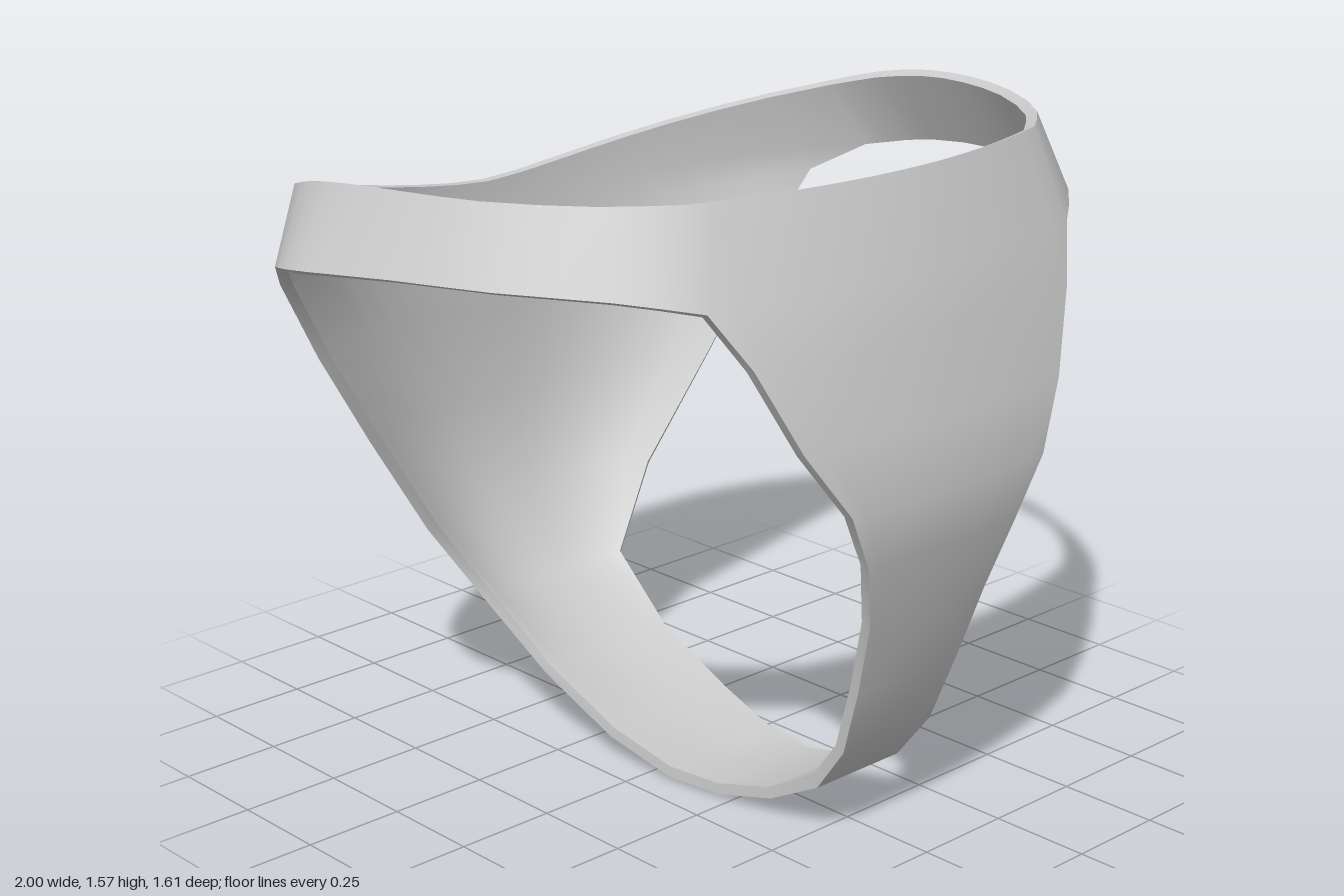
import * as THREE from 'three';
import { mergeVertices, mergeGeometries, toCreasedNormals } from 'three/addons/utils/BufferGeometryUtils.js';

const THICKNESS = 0.028;

// Cross-sections of the centre panel, from front waist, under the crotch, to back waist:
// half width, centre y, centre z, edge y, edge z
const SECTIONS = [
  [0.55, 1.57, 0.62, 1.57, 0.53],
  [0.57, 1.36, 0.70, 1.36, 0.62],
  [0.50, 1.24, 0.735, 1.24, 0.685],
  [0.41, 1.05, 0.775, 1.05, 0.745],
  [0.31, 0.90, 0.81, 0.90, 0.79],
  [0.24, 0.76, 0.785, 0.76, 0.775],
  [0.19, 0.60, 0.745, 0.60, 0.735],
  [0.165, 0.42, 0.69, 0.42, 0.68],
  [0.145, 0.25, 0.62, 0.25, 0.62],
  [0.135, 0.13, 0.53, 0.13, 0.53],
  [0.135, 0.05, 0.38, 0.05, 0.38],
  [0.15, 0.01, 0.22, 0.01, 0.22],
  [0.17, 0.00, 0.07, 0.01, 0.07],
  [0.19, 0.05, -0.12, 0.06, -0.12],
  [0.20, 0.14, -0.36, 0.16, -0.35],
  [0.23, 0.28, -0.60, 0.31, -0.55],
  [0.37, 0.49, -0.74, 0.52, -0.59],
  [0.56, 0.75, -0.785, 0.80, -0.555],
  [0.72, 0.98, -0.79, 1.05, -0.525],
  [0.85, 1.15, -0.79, 1.26, -0.475],
  [0.94, 1.24, -0.80, 1.34, -0.36],
  [0.85, 1.31, -0.80, 1.505, -0.40],
];

// Waist edge and leg edge of the side band, front to back
const BAND_TOP = [[0.55, 1.57, 0.53], [0.69, 1.57, 0.42], [0.83, 1.57, 0.22], [0.89, 1.57, 0.04],
  [0.91, 1.562, -0.12], [0.895, 1.54, -0.27], [0.85, 1.505, -0.40]];
const BAND_LOW = [[0.57, 1.36, 0.62], [0.72, 1.39, 0.50], [0.87, 1.4, 0.30], [0.96, 1.4, 0.08],
  [1.0, 1.38, -0.15], [0.99, 1.365, -0.25], [0.94, 1.34, -0.36]];

// Surface from rows of points
function gridGeometry(rows) {
  const cols = rows[0].length;
  const index = [];
  for (let i = 0; i < rows.length - 1; i++) {
    for (let j = 0; j < cols - 1; j++) {
      const a = i * cols + j, c = a + cols;
      index.push(a, c, a + 1, a + 1, c, c + 1);
    }
  }
  const geo = new THREE.BufferGeometry();
  geo.setAttribute('position', new THREE.Float32BufferAttribute(rows.flat(2), 3));
  geo.setIndex(index);
  return geo;
}

function centrePanel() {
  const half = 8;
  return gridGeometry(SECTIONS.map(([w, yc, zc, ye, ze]) => {
    const power = zc < 0 ? 2.7 : 2;
    const row = [];
    for (let j = -half; j <= half; j++) {
      const u = Math.abs(j) / half;
      row.push([w * j / half, yc + (ye - yc) * u ** 1.6, zc + (ze - zc) * u ** power]);
    }
    return row;
  }));
}

function sideBand(side) {
  const curves = [BAND_TOP, BAND_LOW].map(
    (pts) => new THREE.CatmullRomCurve3(pts.map((p) => new THREE.Vector3(...p))));
  const rows = [0, 0.5, 1].map((v) => {
    const row = [];
    for (let j = 0; j <= 12; j++) {
      const p = curves[0].getPoint(j / 12).lerp(curves[1].getPoint(j / 12), v);
      row.push([p.x * side, p.y, p.z]);
    }
    return side > 0 ? row : row.reverse();
  });
  // the middle row starts and ends on the panel's straight edge
  return gridGeometry([rows[0], rows[2]]);
}

// Give a sheet an inner face and close every open edge
function thicken(sheet, depth) {
  sheet.computeVertexNormals();
  const pos = sheet.attributes.position, nor = sheet.attributes.normal, n = pos.count;
  const points = Array.from(pos.array);
  for (let i = 0; i < n; i++) {
    points.push(pos.getX(i) - nor.getX(i) * depth, pos.getY(i) - nor.getY(i) * depth,
      pos.getZ(i) - nor.getZ(i) * depth);
  }
  const outer = Array.from(sheet.index.array);
  const index = [...outer];
  const edges = new Set();
  for (let t = 0; t < outer.length; t += 3) {
    const [a, b, c] = outer.slice(t, t + 3);
    index.push(a + n, c + n, b + n);
    edges.add(`${a},${b}`).add(`${b},${c}`).add(`${c},${a}`);
  }
  for (const edge of edges) {
    const [a, b] = edge.split(',').map(Number);
    if (!edges.has(`${b},${a}`)) index.push(b, a, a + n, b, a + n, b + n);
  }
  const geo = new THREE.BufferGeometry();
  geo.setAttribute('position', new THREE.Float32BufferAttribute(points, 3));
  geo.setIndex(index);
  return geo;
}

export function createModel() {
  const group = new THREE.Group();
  group.name = 'briefs';
  // Panel and both side bands joined into one cloth
  const sheet = mergeVertices(mergeGeometries([centrePanel(), sideBand(1), sideBand(-1)]), 1e-4);
  const cloth = new THREE.Mesh(
    toCreasedNormals(thicken(sheet, THICKNESS), 1.0),
    new THREE.MeshStandardMaterial({ color: 0xcccccc, side: THREE.DoubleSide }));
  cloth.name = 'cloth';
  group.add(cloth);
  return group;
}
